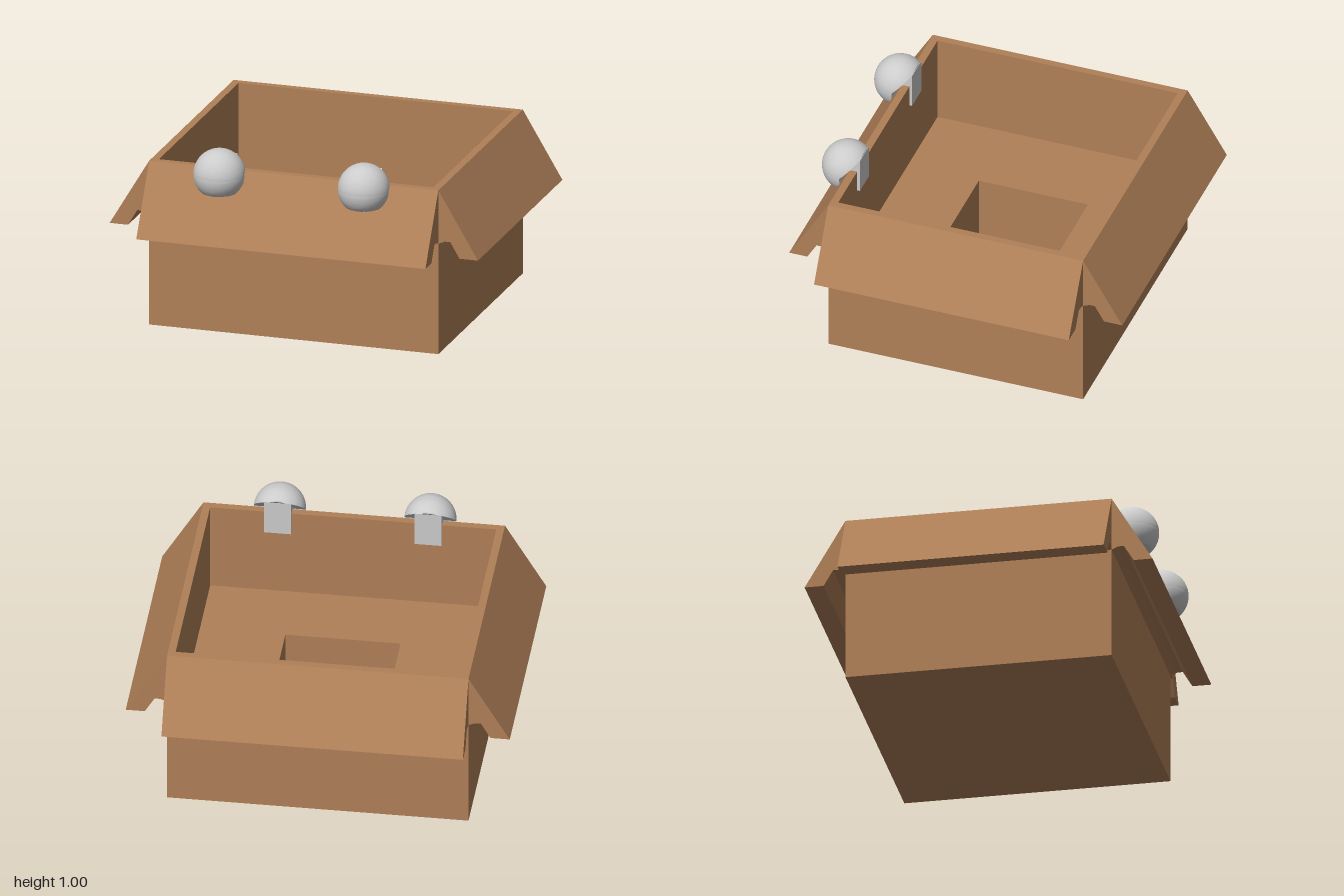
import * as THREE from 'three';
import { toCreasedNormals } from 'three/addons/utils/BufferGeometryUtils.js';

const W = 0.785, D = 0.70, H = 0.89, T = 0.04, FLOOR = 0.4;

export function createModel() {
  const model = new THREE.Group();
  const card = new THREE.MeshStandardMaterial({ color: 0xb08058, side: THREE.DoubleSide });
  const grey = new THREE.MeshStandardMaterial({ color: 0xcccccc, side: THREE.DoubleSide });

  function add(name, geometry, material, parent = model) {
    const mesh = new THREE.Mesh(geometry, material);
    mesh.name = name;
    parent.add(mesh);
    return mesh;
  }

  const rect = (C, x0, y0, x1, y1) => new C([[x0, y0], [x1, y0], [x1, y1], [x0, y1]]
    .map(p => new THREE.Vector2(...p)));

  // Rectangular slab with a rectangular opening, standing from y0 to y1
  function frame(outer, inner, y0, y1) {
    const shape = rect(THREE.Shape, ...outer);
    shape.holes.push(rect(THREE.Path, ...inner));
    return new THREE.ExtrudeGeometry(shape, { depth: y1 - y0, bevelEnabled: false })
      .rotateX(-Math.PI / 2).translate(0, y0, 0);
  }

  // Profile of (outward, height) points, extruded evenly about its middle
  function prism(points, length) {
    const shape = new THREE.Shape(points.map(p => new THREE.Vector2(...p)));
    return new THREE.ExtrudeGeometry(shape, { depth: length, bevelEnabled: false })
      .translate(0, 0, -length / 2);
  }

  // Box body
  add('bottom', new THREE.BoxGeometry(2 * W, T, 2 * D).translate(0, T / 2, 0), card);
  add('walls', frame([-W, -D, W, D], [-W + T, -D + T, W - T, D - T], T, H), card);
  add('innerFloor', frame([-W + T, -D + T, W - T, D - T], [-0.3, -0.27, 0.3, 0.33], T, FLOOR), card);

  // Four folded flaps, thick at the hinge and notched underneath
  const flapProfile = [[0, H], [0, 0.6], [0.035, 0.615], [0.065, 0.615], [0.115, 0.53], [0.215, 0.53]];
  ['leftFlap', 'backFlap', 'rightFlap', 'frontFlap'].forEach((name, i) => {
    const [offset, length] = i % 2 ? [D, 2 * W] : [W, 2 * D];
    const points = flapProfile.map(([x, y]) => [x + offset, y]);
    add(name, prism(points, length).rotateY(i * Math.PI / 2), card);
  });

  // Eyes: balls with the lower back quarter cut away, trimmed flat below and behind
  const R = 0.135, EY = 0.87, EZ = 0.735;
  function trim(geometry) {
    const p = geometry.attributes.position;
    for (let i = 0; i < p.count; i++) {
      p.setY(i, Math.max(p.getY(i), 0.775 - EY));
      p.setZ(i, Math.max(p.getZ(i), 0.645 - EZ));
    }
    return toCreasedNormals(geometry, 0.5);
  }
  for (const side of [1, -1]) {
    const eye = new THREE.Group();
    eye.name = side > 0 ? 'leftEye' : 'rightEye';
    eye.position.set(side * 0.392, EY, EZ);
    add('ball', trim(new THREE.SphereGeometry(R, 60, 40, 0, Math.PI * 1.25).rotateZ(Math.PI / 2)), grey, eye);
    for (const tilt of [Math.PI, -Math.PI / 4]) {
      add('cutFace', trim(new THREE.CircleGeometry(R, 32, 0, Math.PI).rotateX(tilt)), grey, eye);
    }
    // Clip reaching over the wall and down its inside
    const clip = [[-0.09, -0.1], [-0.075, -0.1], [-0.075, 0.02], [0, 0.02], [0, 0], [-0.09, 0.09]];
    add('clip', prism(clip, 0.14).rotateY(-Math.PI / 2), grey, eye);
    model.add(eye);
  }
  return model;
}
